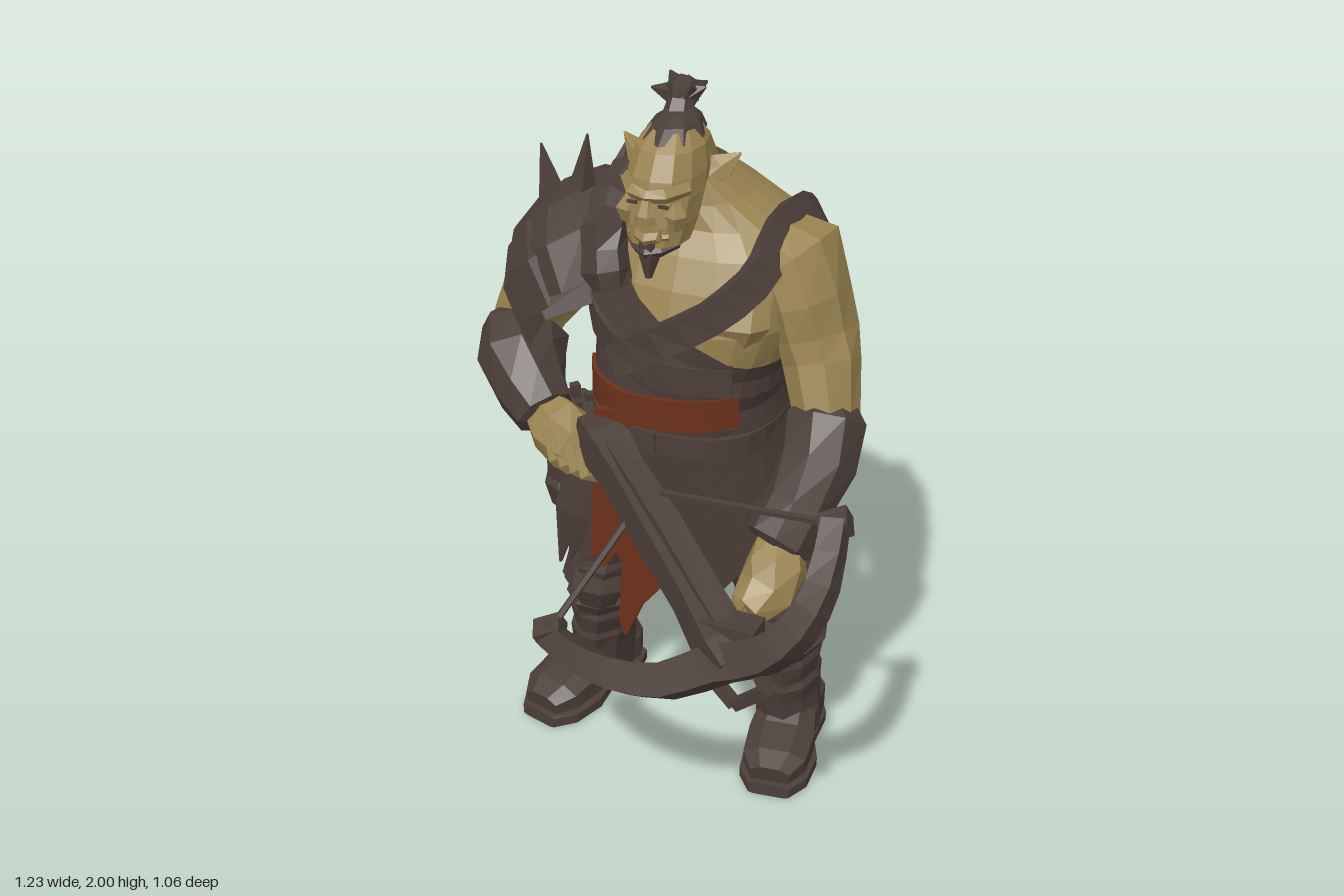
import * as THREE from 'three';

const V = (x, y, z) => new THREE.Vector3(x, y, z);
const mat = (name, color, side = THREE.DoubleSide) => Object.assign(new THREE.MeshStandardMaterial({ color, side }), { name });
let seed = 7;
const rand = () => { seed = (seed * 16807) % 2147483647; return seed / 1073741823.5 - 1; };
const lerp = THREE.MathUtils.lerp;
const pw = (v, p) => Math.sign(v) * Math.abs(v) ** p;

// Reads a table of rows [key, ...values] at a key
function table(rows, k) {
  let i = 0;
  while (i < rows.length - 2 && k > rows[i + 1][0]) i++;
  const t = THREE.MathUtils.clamp((k - rows[i][0]) / (rows[i + 1][0] - rows[i][0]), 0, 1);
  return rows[i].slice(1).map((v, n) => lerp(v, rows[i + 1][n + 1], t));
}

// Faceted surface from a grid of points fn(i, j); i runs around, j along
function grid(nu, nv, fn, caps = []) {
  const pos = [], P = [];
  for (let j = 0; j <= nv; j++) { P.push([]); for (let i = 0; i <= nu; i++) P[j].push(fn(i, j)); }
  const tri = (...pts) => pts.forEach(p => pos.push(p.x, p.y, p.z));
  for (let j = 0; j < nv; j++) for (let i = 0; i < nu; i++) {
    tri(P[j][i], P[j][i + 1], P[j + 1][i + 1]);
    tri(P[j][i], P[j + 1][i + 1], P[j + 1][i]);
  }
  if (caps.length) for (let i = 0; i < nu; i++) {
    tri(caps[0], P[0][i + 1], P[0][i]);
    tri(caps[1], P[nv][i], P[nv][i + 1]);
  }
  const g = new THREE.BufferGeometry();
  g.setAttribute('position', new THREE.Float32BufferAttribute(pos, 3));
  g.computeVertexNormals();
  return g;
}

// Closed loft along rows [x, y, z, radiusA, radiusB]
function loft(rows, { sides = 8, ref = V(0, 0, 1), rot = 0, flat = false, p = 1, jit = 0 } = {}) {
  const c = rows.map(r => V(r[0], r[1], r[2])), n = rows.length;
  const wob = rows.map(() => Array.from({ length: sides }, () => 1 + jit * rand()));
  const frames = c.map((q, j) => {
    const t = flat ? V(0, 1, 0) : c[Math.min(j + 1, n - 1)].clone().sub(c[Math.max(j - 1, 0)]).normalize();
    const a = t.clone().cross(typeof ref === 'function' ? ref(q) : ref).normalize();
    return [a, t.clone().cross(a)];
  });
  return grid(sides, n - 1, (i, j) => {
    const k = i % sides, an = k / sides * Math.PI * 2 + rot, w = wob[j][k];
    return c[j].clone().addScaledVector(frames[j][0], pw(Math.cos(an), p) * rows[j][3] * w)
      .addScaledVector(frames[j][1], pw(Math.sin(an), p) * (rows[j][4] ?? rows[j][3]) * w);
  }, [c[0], c[n - 1]]);
}

// Torso rows: y, centre x, centre z, radius x, radius z
const TORSO = [[1.06, -.02, -.2, .23, .22], [1.2, -.02, -.2, .235, .225], [1.32, -.01, -.2, .25, .23], [1.42, 0, -.21, .28, .235],
  [1.52, 0, -.23, .29, .22], [1.6, 0, -.25, .28, .2], [1.66, -.01, -.26, .23, .17], [1.72, -.04, -.25, .16, .15], [1.78, -.06, -.22, .11, .12]];
function torsoAt(deg, y, off = 0) {
  const [cx, cz, rx, rz] = table(TORSO, y), a = deg * Math.PI / 180;
  return V(cx + (rx + off) * pw(Math.sin(a), .85), y, cz + (rz + off) * pw(Math.cos(a), .85));
}

export function createModel() {
  seed = 7;
  const skin = mat('skin', 0x998350), leather = mat('dark leather', 0x4b3e38), cloth = mat('red cloth', 0x6c301b);
  const model = new THREE.Group();
  const add = (name, geo, m, parent = model) => {
    const mesh = new THREE.Mesh(geo, m); mesh.name = name; parent.add(mesh); return mesh;
  };
  const group = name => { const g = new THREE.Group(); g.name = name; model.add(g); return g; };
  const bar = { sides: 4, rot: Math.PI / 4, ref: V(0, 1, 0) };
  const spike = (name, a, b, r, m = leather) => add(name, loft([[...a, r], [...b, .003]], { sides: 5, ref: V(.1, .2, 1) }), m);
  // Band that follows the torso through [angle, y] points
  const band = (name, pts, half, thick, off, m) => {
    const curve = new THREE.CatmullRomCurve3(pts.map(([a, y]) => torsoAt(a, y, off)));
    const rows = curve.getPoints(pts.length * 2).map(p => [p.x, p.y, p.z, half * 1.41, thick * 1.41]);
    return add(name, loft(rows, { ...bar, ref: p => V(p.x, Math.max(0, p.y - 1.45) * .8, p.z + .22), jit: .05 }), m);
  };

  // Torso, with the wrap and vest laid over it
  add('torso', grid(20, 8, (i, j) => torsoAt(i * 18, TORSO[j][0])), skin);
  const TOP = [[-180, 1.27], [-165, 1.38], [-145, 1.58], [-110, 1.65], [-60, 1.66], [-42, 1.63], [-20, 1.54], [-4, 1.45], [15, 1.4], [40, 1.34], [90, 1.32], [135, 1.24], [160, 1.23], [180, 1.27]];
  add('vest', grid(30, 5, (i, j) => {
    const a = i * 12 - 180;
    return torsoAt(a, lerp(1.1, table(TOP, a)[0], j / 5), .01 + (j % 2) * .008);
  }), leather);
  band('shoulderStrap', [[-25, 1.31], [0, 1.41], [22, 1.5], [42, 1.59], [65, 1.66], [105, 1.66], [130, 1.6], [148, 1.52], [155, 1.43], [146, 1.34], [130, 1.24]], .044, .016, .024, leather);
  band('chestWrap', [[-75, 1.44], [-35, 1.37], [0, 1.31], [40, 1.3]], .04, .012, .016, leather);
  band('sash', [[-72, 1.19], [-50, 1.19], [-25, 1.185], [0, 1.19], [25, 1.2], [48, 1.21]], .045, .012, .018, cloth);
  band('belt', [0, 1, 2, 3, 4, 5, 6, 7, 8, 9, 10, 11, 12].map(i => [i * 30, 1.1]), .03, .012, .02, leather);
  add('beltBuckle', new THREE.BoxGeometry(.13, .08, .04), leather).position.set(-.1, 1.1, -.45);

  // Ragged skirt, pelvis and hanging cloth
  add('skirt', grid(36, 5, (i, j) => {
    const k = i % 36, a = k * Math.PI / 18, s = Math.abs(Math.sin(a)), v = 1 - j / 5;
    const hem = (Math.cos(a) > 0 ? lerp(.68, .56, s) : lerp(.64, .56, s)) + [.0, .03, -.03, .05, .01, -.02][k % 6];
    const fold = 1 + (k % 2 ? -.025 : .02) * v;
    return V(-.01 + lerp(.245, .345, v) * fold * pw(Math.sin(a), .85), lerp(1.16, hem, v), lerp(-.2, -.265, v) + lerp(.23, .235, v) * fold * pw(Math.cos(a), .85));
  }), leather);
  add('pelvis', loft([[0, .66, -.23, .16, .15], [0, .8, -.22, .27, .18], [0, 1.1, -.2, .22, .2]], { flat: true }), leather);
  for (const [x, y, z, tip] of [[-.35, .72, -.1, .53], [-.3, .74, -.06, .58], [.33, .72, -.1, .53], [.28, .72, -.07, .6]])
    add('skirtTatter', loft([[x * .85, y + .2, z, .05, .012], [x, y, z + .01, .04, .012], [x * 1.1, tip, z, .005]], { sides: 4 }), leather);
  const flap = (name, pts, z, tilt) => {
    const g = new THREE.ExtrudeGeometry(new THREE.Shape(pts.map(p => new THREE.Vector2(...p))), { depth: .022, bevelEnabled: false });
    const m = add(name, g, cloth); m.position.z = z; m.rotation.x = tilt;
  };
  flap('hangingClothFront', [[-.2, 1.16], [-.1, 1.17], [-.08, .9], [-.07, .76], [-.12, .68], [-.14, .72], [-.18, .66], [-.22, .7], [-.21, .85]], .02, 0);
  flap('hangingClothBack', [[-.14, 1.1], [-.05, 1.1], [-.02, .85], [.0, .72], [-.03, .6], [-.09, .52], [-.14, .4], [-.16, .45], [-.15, .62]], -.03, 0);

  // Legs: [height, radius, depth radius] with bunched trousers, knee pad and boot rings
  const LEG = [[.06, .09, .12], [.12, .09, .12], [.2, .085, .125], [.25, .095, .13], [.27, .085, .125], [.33, .1, .135], [.35, .092, .13],
    [.39, .115, .15], [.41, .1, .14], [.46, .13, .155], [.48, .118, .15], [.54, .13, .16], [.57, .125, .155], [.64, .145, .165], [.76, .155, .17], [.86, .14, .16]];
  for (const [s, xFoot, xKnee, zFoot, yaw] of [[1, .27, .25, -.26, .15], [-1, -.355, -.29, -.29, -.25]]) {
    const side = s > 0 ? 'left' : 'right';
    add(side + 'Leg', loft(LEG.map(([y, rx, rz]) => [
      y < .5 ? lerp(xFoot, xKnee, y / .5) : lerp(xKnee, s * .16, (y - .5) / .4), y, lerp(zFoot, -.23, Math.min(y / .5, 1)), rx, rz]),
    { sides: 10, flat: true, jit: .03 }), leather);
    add(side + 'KneePad', loft([[xKnee, .4, -.13, .06, .04], [xKnee, .47, -.11, .09, .05], [xKnee, .54, -.12, .08, .04]], { sides: 6, flat: true }), leather);
    const foot = group(side + 'Foot');
    foot.position.set(xFoot, 0, zFoot); foot.rotation.y = yaw;
    add('boot', loft([[0, .09, -.13, .06, .07], [0, .09, -.09, .085, .08], [0, .1, .06, .088, .08], [0, .08, .12, .1, .065], [0, .07, .22, .095, .05], [0, .06, .275, .06, .035]],
      { sides: 8, ref: V(0, 1, 0), p: .8, rot: Math.PI / 8 }), leather, foot);
    add('sole', loft([[-.14, .065], [-.08, .09], [.04, .08], [.13, .108], [.23, .1], [.29, .06]].map(([z, r]) => [0, .02, z, r, .02]),
      { sides: 8, ref: V(0, 1, 0), p: .3, rot: Math.PI / 8 }), leather, foot);
  }

  // Head: brow, nose, jaw, ears, beard and topknot
  add('neck', loft([[-.03, 1.52, -.27, .17, .15], [-.04, 1.66, -.24, .14, .145], [-.06, 1.78, -.2, .1, .115], [-.06, 1.87, -.18, .08, .09]], { flat: true, sides: 10 }), skin);
  const HEAD = [[1.62, .05, .05, -.06], [1.645, .08, .09, -.075], [1.7, .093, .115, -.1], [1.76, .098, .125, -.12], [1.81, .098, .13, -.14], [1.87, .086, .11, -.155], [1.905, .06, .075, -.17], [1.92, .03, .04, -.18]];
  add('head', loft(HEAD.map(([y, rx, rz, z]) => [-.06, y, z, rx, rz]), { flat: true, sides: 12, p: .9 }), skin);
  add('hairCap', loft([[-.06, 1.883, -.165, .078, .105], [-.06, 1.914, -.18, .058, .08], [-.06, 1.932, -.195, .03, .045]], { flat: true }), leather);
  add('brow', loft([[-.14, 1.79, -.06, .02], [-.1, 1.785, -.005, .022], [-.06, 1.78, .005, .018], [-.02, 1.785, -.005, .022], [.02, 1.79, -.06, .02]], { sides: 5, ref: V(0, 1, 0) }), skin);
  add('nose', loft([[-.06, 1.71, .015, .032, .022], [-.06, 1.735, .02, .026, .018], [-.06, 1.78, 0, .014]], { sides: 6, flat: true }), skin);
  add('lowerLip', loft([[-.11, 1.675, -.01, .014], [-.06, 1.67, .018, .018], [-.01, 1.675, -.01, .014]], { sides: 5, ref: V(0, 1, 0) }), skin);
  for (const s of [-1, 1]) {
    const x = d => -.06 + s * d;
    add('ear', loft([[x(.08), 1.765, -.17, .03, .015], [x(.115), 1.8, -.19, .04, .012], [x(.16), 1.835, -.21, .003]], { sides: 6, ref: V(0, 0, 1), rot: .5 }), skin);
    add('cheek', loft([[x(.06), 1.69, -.03, .025], [x(.065), 1.73, -.02, .03], [x(.06), 1.76, -.03, .015]], { sides: 5, flat: true }), skin);
    spike('tusk', [x(.035), 1.67, .012], [x(.04), 1.705, .018], .009, skin);
    add('eye', new THREE.BoxGeometry(.026, .008, .006), leather).position.set(x(.042), 1.757, .003);
  }
  add('beard', loft([[-.06, 1.66, -.005, .03, .03], [-.06, 1.62, -.005, .032, .028], [-.06, 1.555, .0, .01]], { sides: 6, flat: true }), leather);
  add('jawBeard', loft([[-.125, 1.645, -.04, .012], [-.09, 1.635, -.005, .018], [-.06, 1.63, .01, .02], [-.03, 1.635, -.005, .018], [.005, 1.645, -.04, .012]], { sides: 5, ref: V(0, 1, 0) }), leather);
  add('topknotBase', loft([[-.065, 1.9, -.2, .045], [-.07, 1.94, -.225, .036], [-.07, 1.965, -.24, .05], [-.07, 1.985, -.26, .03]], { sides: 7, jit: .1 }), leather);
  for (const [x, y, z] of [[-.15, 1.965, -.22], [-.12, 1.995, -.27], [-.06, 2, -.25], [-.01, 1.98, -.24], [-.04, 1.96, -.32], [-.1, 1.93, -.335]])
    spike('topknotTuft', [-.07, 1.95, -.235], [x, y, z], .045);

  // Left arm, bare to the elbow, reaching forward
  add('leftUpperArm', loft([[.17, 1.61, -.24, .08, .11], [.25, 1.575, -.23, .12, .14], [.29, 1.48, -.22, .105, .15], [.32, 1.38, -.21, .1, .135], [.35, 1.31, -.18, .1, .115], [.39, 1.18, -.12, .085, .09]], { sides: 9, jit: .04 }), skin);
  add('leftChest', loft([[.12, 1.38, -.06, .09, .04], [.13, 1.45, -.05, .12, .06], [.13, 1.53, -.08, .11, .05]], { flat: true }), skin);
  add('leftBracer', loft([[.38, 1.2, -.14, .085], [.385, 1.18, -.12, .11], [.39, 1.09, -.05, .105], [.37, 1.0, .04, .09], [.345, .93, .11, .09], [.34, .92, .12, .06]], { sides: 8, jit: .03 }), leather);
  add('leftHand', loft([[.35, .94, .09, .06, .06], [.36, .88, .14, .08, .08], [.35, .83, .19, .08, .075], [.32, .8, .25, .055, .05]], { sides: 7, jit: .05 }), skin);
  for (let i = 0; i < 4; i++)
    add('leftFinger', loft([[.37 - i * .02, .84, .17 + i * .03, .022], [.35 - i * .02, .785, .18 + i * .03, .022], [.29 - i * .02, .785, .23 + i * .03, .016]], { sides: 5 }), skin);

  // Right arm, bent across the body
  add('rightUpperArm', loft([[-.27, 1.56, -.25, .12], [-.37, 1.48, -.25, .13], [-.45, 1.36, -.22, .125], [-.51, 1.25, -.21, .1], [-.51, 1.17, -.19, .07]], { sides: 9, jit: .04 }), skin);
  add('rightBracer', loft([[-.5, 1.23, -.18, .09], [-.5, 1.22, -.16, .12, .11], [-.48, 1.18, -.09, .12], [-.42, 1.13, -.03, .1], [-.36, 1.09, .01, .085], [-.35, 1.085, .015, .05]], { sides: 8, ref: V(0, 1, 0), jit: .03 }), leather);
  add('rightHand', loft([[-.37, 1.1, 0, .06], [-.32, 1.07, .025, .08, .085], [-.26, 1.04, .04, .08, .085], [-.19, 1.01, .05, .05, .05]], { sides: 7, ref: V(0, 1, 0), jit: .05 }), skin);
  for (let i = 0; i < 4; i++)
    add('rightFinger', loft([[-.31 + i * .03, 1.09 - i * .01, .085, .022], [-.29 + i * .03, 1.02 - i * .01, .1, .022], [-.26 + i * .03, .97, .07, .016]], { sides: 5 }), skin);

  // Layered pauldron with spikes and a fur collar
  const DOMES = [[-.37, 1.38, .19, .21, .235, .75], [-.35, 1.43, .2, .21, .25, .7], [-.31, 1.48, .2, .2, .25, .55]];
  DOMES.forEach(([x, y, rx, ry, rz, tilt], n) => {
    const g = grid(10, 3, (i, j) => {
      const a = (i % 10) / 10 * Math.PI * 2, b = j / 3 * Math.PI / 2, flare = j ? 1 : 1.05 + (i % 2) * .05;
      return V(pw(Math.sin(a), .85) * Math.cos(b) * rx * flare, Math.sin(b) * ry - (j ? 0 : .02 + (n ? 0 : (i % 2) * .04)), pw(Math.cos(a), .85) * Math.cos(b) * rz * flare);
    });
    const m = add('pauldronPlate', g, leather); m.position.set(x, y, -.25); m.rotation.z = tilt;
  });
  for (const [a, b] of [[[-.34, 1.64, -.2], [-.32, 1.815, -.2]], [[-.44, 1.58, -.24], [-.48, 1.74, -.25]], [[-.3, 1.63, -.35], [-.29, 1.73, -.37]],
    [[-.42, 1.56, -.38], [-.44, 1.64, -.42]]]) spike('pauldronSpike', a, b, .045);
  const fur = new THREE.CatmullRomCurve3([V(-.17, 1.5, -.01), V(-.2, 1.61, -.04), V(-.22, 1.67, -.14), V(-.21, 1.7, -.26), V(-.18, 1.64, -.38), V(-.15, 1.52, -.43), V(-.2, 1.4, -.45), V(-.34, 1.36, -.44)]);
  add('furCollar', loft(fur.getPoints(18).map((p, i) => [p.x, p.y, p.z, .055 + (i % 2) * .015]), { sides: 7, ref: V(-1, .1, 0), jit: .15 }), leather);

  // Quiver with bolts at the right hip
  add('quiver', loft([[-.42, .64, -.26, .06, .07], [-.42, .72, -.25, .075, .085], [-.42, .74, -.25, .065, .075], [-.415, .9, -.24, .07, .08], [-.41, .91, -.24, .082, .09], [-.41, .97, -.24, .08, .09]], { sides: 8, flat: true }), leather);
  for (let i = 0; i < 6; i++)
    add('quiverBolt', loft([[-.45 + (i % 3) * .04, .94, -.28 + (i > 2) * .08, .014], [-.46 + (i % 3) * .045, .99 + (i % 2) * .02, -.28 + (i > 2) * .08, .018]], { sides: 4 }), leather);
  add('hipPouch', new THREE.BoxGeometry(.05, .11, .08), leather).position.set(.29, .79, -.13);

  // Crossbow: stock, rail, bow, string and stirrup
  const bow = group('crossbow');
  add('stock', loft([[-.22, 1.1, .03, .06, .06], [-.17, 1.085, .06, .08, .08], [-.08, 1.03, .12, .065, .07], [.06, .96, .22, .075, .07], [.22, .88, .34, .075, .065], [.33, .82, .43, .085, .075], [.38, .79, .47, .065, .055]], bar), leather, bow);
  add('rail', loft([[-.12, 1.1, .1, .03, .02], [.1, .995, .25, .04, .03], [.33, .87, .42, .035, .025]], bar), leather, bow);
  add('riser', new THREE.BoxGeometry(.16, .12, .08), leather, bow).position.set(.34, .83, .41);
  add('trigger', loft([[-.05, 1.0, .13, .015], [-.07, .93, .13, .015], [.04, .9, .2, .012]], { ...bar, ref: V(1, 0, 1) }), leather, bow);
  const limbs = new THREE.CatmullRomCurve3([V(.56, 1.16, .28), V(.575, 1.05, .4), V(.54, .95, .46), V(.46, .86, .48), V(.34, .79, .465), V(.2, .7, .48), V(.05, .66, .46), V(-.08, .65, .42), V(-.19, .66, .37)]);
  add('bowLimbs', loft(limbs.getPoints(16).map((p, i) => {
    const k = 1 - Math.abs(i - 8) / 8;
    return [p.x, p.y, p.z, .038 + .02 * k, .042 + .026 * k];
  }), { ...bar, ref: V(.56, -.3, .41) }), leather, bow);
  const nock = [.01, 1.03, .16];
  for (const tip of [[.56, 1.15, .28], [-.18, .67, .37]]) {
    const end = add('limbTip', new THREE.BoxGeometry(.075, .05, .06), leather, bow);
    end.position.set(...tip); end.rotation.set(.3, .4, .3);
    add('bowString', loft([[...tip, .01], [...nock, .01]], { sides: 5, ref: V(0, 1, 0) }), leather, bow);
  }
  const loop = [[.35, .77, .46], [.42, .82, .46], [.475, .76, .48], [.38, .67, .46], [.33, .71, .45]];
  loop.forEach((a, i) => add('stirrup', loft([[...a, .02], [...loop[(i + 1) % 5], .02]], { ...bar, ref: V(0, 0, 1) }), leather, bow));
  return model;
}
